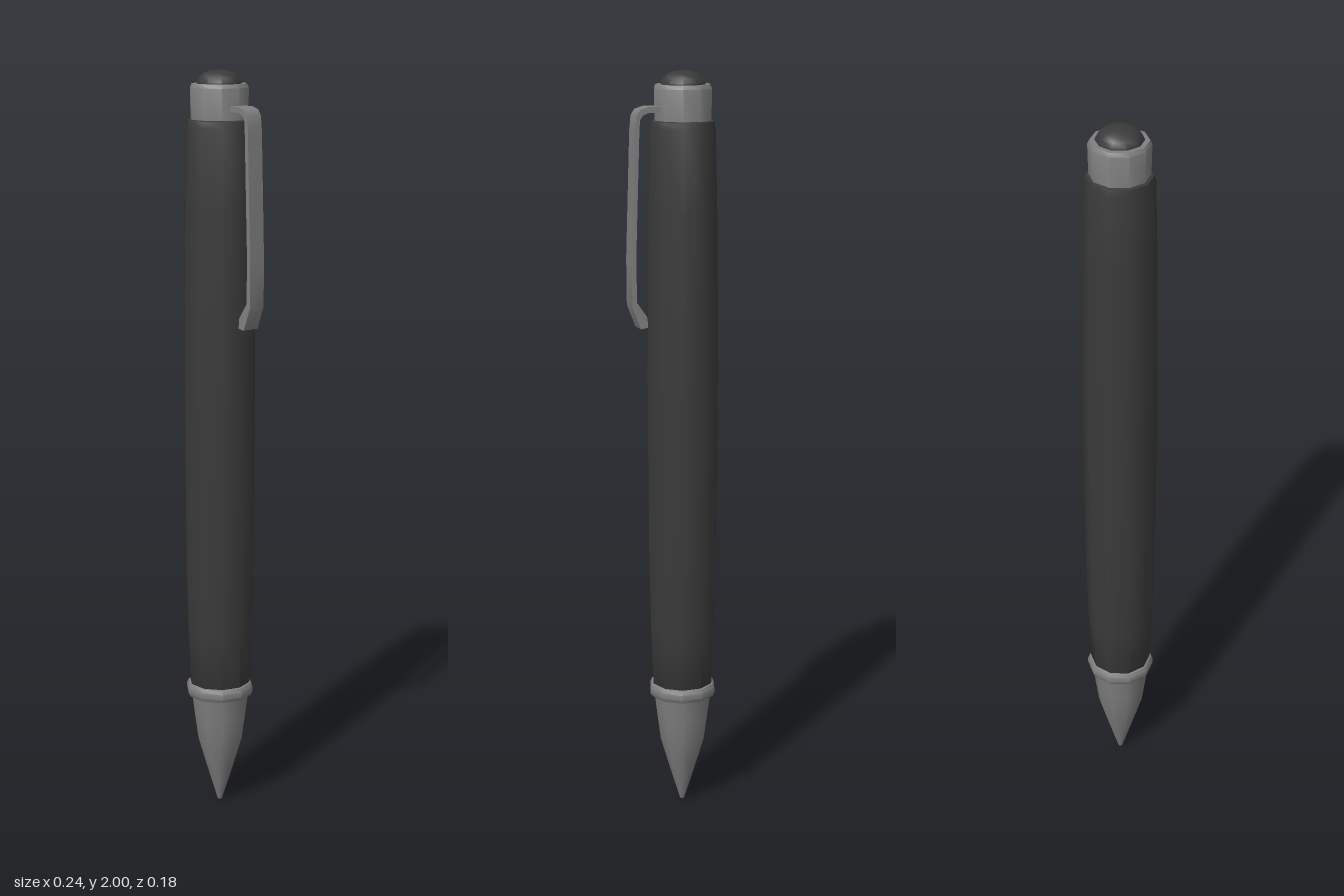
import * as THREE from 'three';
import { toCreasedNormals } from 'three/addons/utils/BufferGeometryUtils.js';

const AXIS_X = -0.025; // the clip sticks out, so the barrel sits off centre

export function createModel() {
  const pen = new THREE.Group();
  pen.name = 'pen';
  const metal = new THREE.MeshStandardMaterial({ color: 0x808080 });
  const rubber = new THREE.MeshStandardMaterial({ color: 0x3a3a3a });

  // Ten-sided turned part from [radius, height] pairs, bottom to top
  function turned(name, profile, material) {
    const points = profile.map(([r, y]) => new THREE.Vector2(r, y));
    const geometry = toCreasedNormals(new THREE.LatheGeometry(points, 10).rotateY(Math.PI / 2), 0.7);
    const mesh = new THREE.Mesh(geometry, material);
    mesh.name = name;
    mesh.position.x = AXIS_X;
    pen.add(mesh);
  }

  turned('tip', [[0, 0], [0.006, 0.002], [0.035, 0.095], [0.062, 0.185], [0.071, 0.25], [0.08, 0.32]], metal);

  turned('ring', [
    [0.078, 0.31], [0.087, 0.313], [0.092, 0.323], [0.092, 0.337], [0.087, 0.347], [0.078, 0.35],
  ], metal);

  turned('barrel', [
    [0.076, 0.34], [0.083, 0.35], [0.089, 0.5], [0.094, 0.7], [0.096, 0.95], [0.097, 1.2],
    [0.096, 1.4], [0.093, 1.65], [0.088, 1.855], [0.084, 1.872], [0.07, 1.876],
  ], rubber);

  turned('collar', [[0.076, 1.865], [0.078, 1.955], [0.073, 1.965], [0.058, 1.965]], metal);

  // Domed push button
  turned('button', [
    [0.06, 1.955], [0.06, 1.968], [0.053, 1.982], [0.04, 1.992], [0.022, 1.998], [0, 2],
  ], rubber);

  // Bent strip clip: side outline extruded across its width
  const outline = [
    [0.035, 1.911], [0.075, 1.911], [0.098, 1.904], [0.108, 1.889], [0.112, 1.85],
    [0.122, 1.52], [0.121, 1.4], [0.098, 1.34], [0.078, 1.343], [0.08, 1.37],
    [0.108, 1.41], [0.11, 1.52], [0.1, 1.85], [0.098, 1.879], [0.09, 1.89], [0.075, 1.896], [0.035, 1.896],
  ];
  const shape = new THREE.Shape(outline.map(([x, y]) => new THREE.Vector2(x, y)));
  const width = 0.048;
  const clipGeometry = new THREE.ExtrudeGeometry(shape, { depth: width, bevelEnabled: false });
  clipGeometry.translate(0, 0, -width / 2);
  const clip = new THREE.Mesh(toCreasedNormals(clipGeometry, 0.7), metal);
  clip.name = 'clip';
  pen.add(clip);

  return pen;
}
